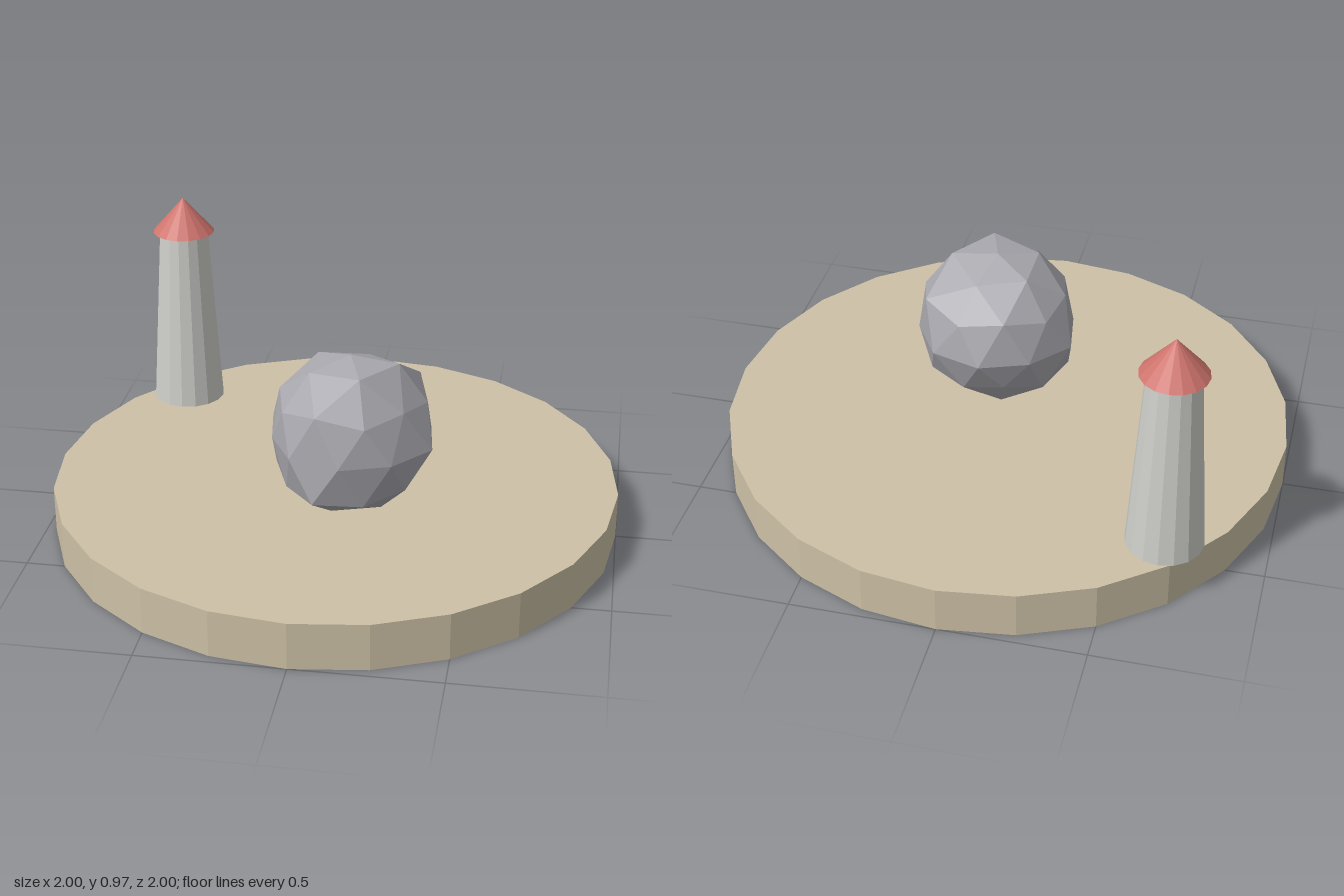
import * as THREE from 'three';

// Radii of the boulder's corners, by height level and then by angle around y
const ROCK_LEVELS = [
  { y: 1, start: 0, radii: [0.29] },
  { y: 0.851, start: 0, radii: [0.315, 0.32, 0.3, 0.295, 0.275] },
  { y: 0.526, start: 36, radii: [0.29, 0.315, 0.288, 0.3, 0.32] },
  { y: 0.447, start: 0, radii: [0.296, 0.3, 0.29, 0.29, 0.29] },
  { y: 0, start: 18, radii: [0.308, 0.293, 0.295, 0.295, 0.272, 0.302, 0.287, 0.295, 0.299, 0.283] },
  { y: -0.447, start: 36, radii: [0.29, 0.325, 0.291, 0.265, 0.285] },
  { y: -0.526, start: 0, radii: [0.265, 0.3, 0.29, 0.29, 0.275] },
  { y: -0.851, start: 36, radii: [0.28, 0.28, 0.3, 0.28, 0.28] },
  { y: -1, start: 0, radii: [0.29] },
];

function rockRadius(v) {
  const level = ROCK_LEVELS.reduce((a, b) => (Math.abs(b.y - v.y) < Math.abs(a.y - v.y) ? b : a));
  const n = level.radii.length;
  const angle = THREE.MathUtils.radToDeg(Math.atan2(v.z, v.x));
  const i = Math.round(((angle - level.start) * n) / 360);
  return level.radii[((i % n) + n) % n];
}

// Subdivided icosahedron standing on a corner, each corner pushed in or out
function boulderGeometry() {
  const geo = new THREE.IcosahedronGeometry(1, 1);
  geo.rotateX(-Math.atan((1 + Math.sqrt(5)) / 2));
  geo.rotateY(Math.PI / 2);
  const pos = geo.attributes.position;
  const v = new THREE.Vector3();
  for (let i = 0; i < pos.count; i++) {
    v.fromBufferAttribute(pos, i).normalize();
    v.multiplyScalar(rockRadius(v));
    pos.setXYZ(i, v.x, v.y, v.z);
  }
  geo.computeVertexNormals();
  return geo;
}

function material(name, color) {
  const m = new THREE.MeshStandardMaterial({ color, flatShading: true });
  m.name = name;
  return m;
}

export function createModel() {
  const model = new THREE.Group();
  model.name = 'islandWithTower';

  const add = (name, geo, mat, x, y, z, parent = model) => {
    const mesh = new THREE.Mesh(geo, mat);
    mesh.name = name;
    mesh.position.set(x, y, z);
    parent.add(mesh);
    return mesh;
  };

  const sand = material('sand', 0xcdc1a6);
  const stone = material('stone', 0xa9a8ae);
  const plaster = material('plaster', 0xcfcfcb);
  const roofRed = material('roofRed', 0xcf746d);

  // Ground disc
  const ground = 0.167;
  add('groundDisc', new THREE.CylinderGeometry(1, 1, ground, 24), sand, 0, ground / 2, 0);

  // Boulder sunk slightly into the ground
  add('boulder', boulderGeometry(), stone, 0.075, 0.42, 0.155);

  // Tapered tower with a conical roof at the rim
  const tower = new THREE.Group();
  tower.name = 'tower';
  tower.position.set(-0.668, ground, -0.583);
  model.add(tower);
  const wallHeight = 0.67;
  const roofHeight = 0.13;
  add('towerWall', new THREE.CylinderGeometry(0.09, 0.133, wallHeight, 16), plaster,
    0, wallHeight / 2, 0, tower);
  add('towerRoof', new THREE.ConeGeometry(0.114, roofHeight, 16), roofRed,
    0, wallHeight + roofHeight / 2, 0, tower);

  return model;
}
